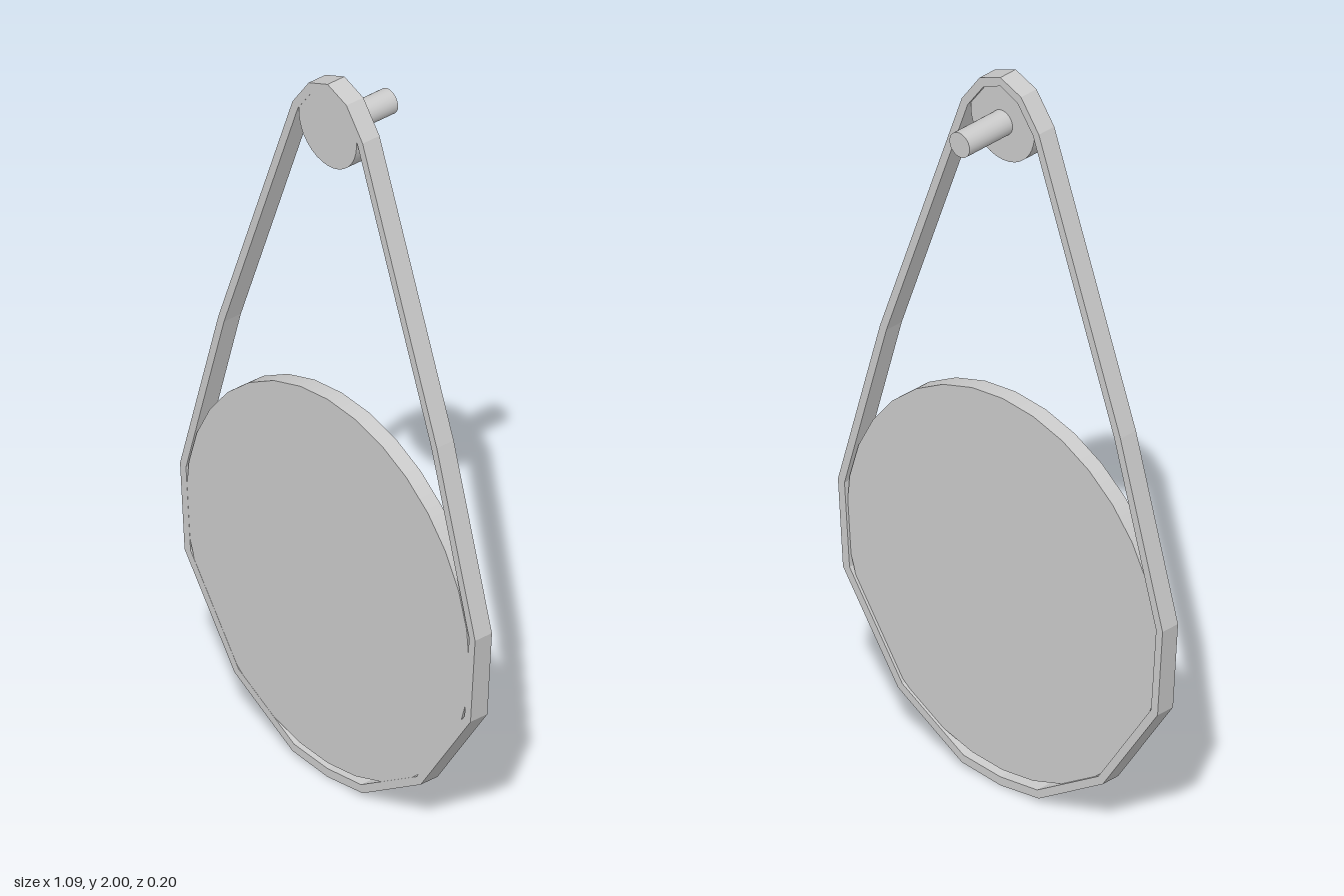
import * as THREE from 'three';

// Outline mirrored about x = 0, given bottom to top on the +x side
function mirrored(half) {
  const left = half.slice(1, -1).reverse().map(([x, y]) => [-x, y]);
  return [...half, ...left].map(([x, y]) => new THREE.Vector2(x, y));
}

export function createModel() {
  const group = new THREE.Group();
  const grey = new THREE.MeshStandardMaterial({ color: 0xcccccc });
  grey.name = 'light grey';

  const add = (name, geometry) => {
    const mesh = new THREE.Mesh(geometry, grey);
    mesh.name = name;
    group.add(mesh);
    return mesh;
  };
  // Cylinder lying along z between two depths
  const rod = (name, radius, y, z0, z1, sides) => {
    const geometry = new THREE.CylinderGeometry(radius, radius, z1 - z0, sides);
    geometry.rotateX(Math.PI / 2);
    add(name, geometry).position.set(0, y, (z0 + z1) / 2);
  };

  // Faceted strap hanging from the peg and wrapping the mirror
  const strap = new THREE.Shape(mirrored([
    [0, 0], [0.13, 0.014], [0.345, 0.14], [0.53, 0.408], [0.547, 0.65],
    [0.405, 1.14], [0.13, 1.89], [0.07, 1.972], [0, 2],
  ]));
  strap.holes.push(new THREE.Path(mirrored([
    [0, 0.024], [0.124, 0.036], [0.33, 0.156], [0.508, 0.415], [0.525, 0.647],
    [0.384, 1.134], [0.11, 1.88], [0.058, 1.95], [0, 1.976],
  ])));
  const strapGeometry = new THREE.ExtrudeGeometry(strap, { depth: 0.055, bevelEnabled: false });
  strapGeometry.translate(0, 0, 0.045);
  add('strap', strapGeometry);

  // Round mirror, hanging knob and wall peg
  rod('mirrorDisc', 0.525, 0.565, 0.053, 0.0995, 32);
  rod('knob', 0.107, 1.872, 0.053, 0.0995, 32);
  rod('wallPeg', 0.034, 1.87, -0.1, 0.06, 24);

  return group;
}
